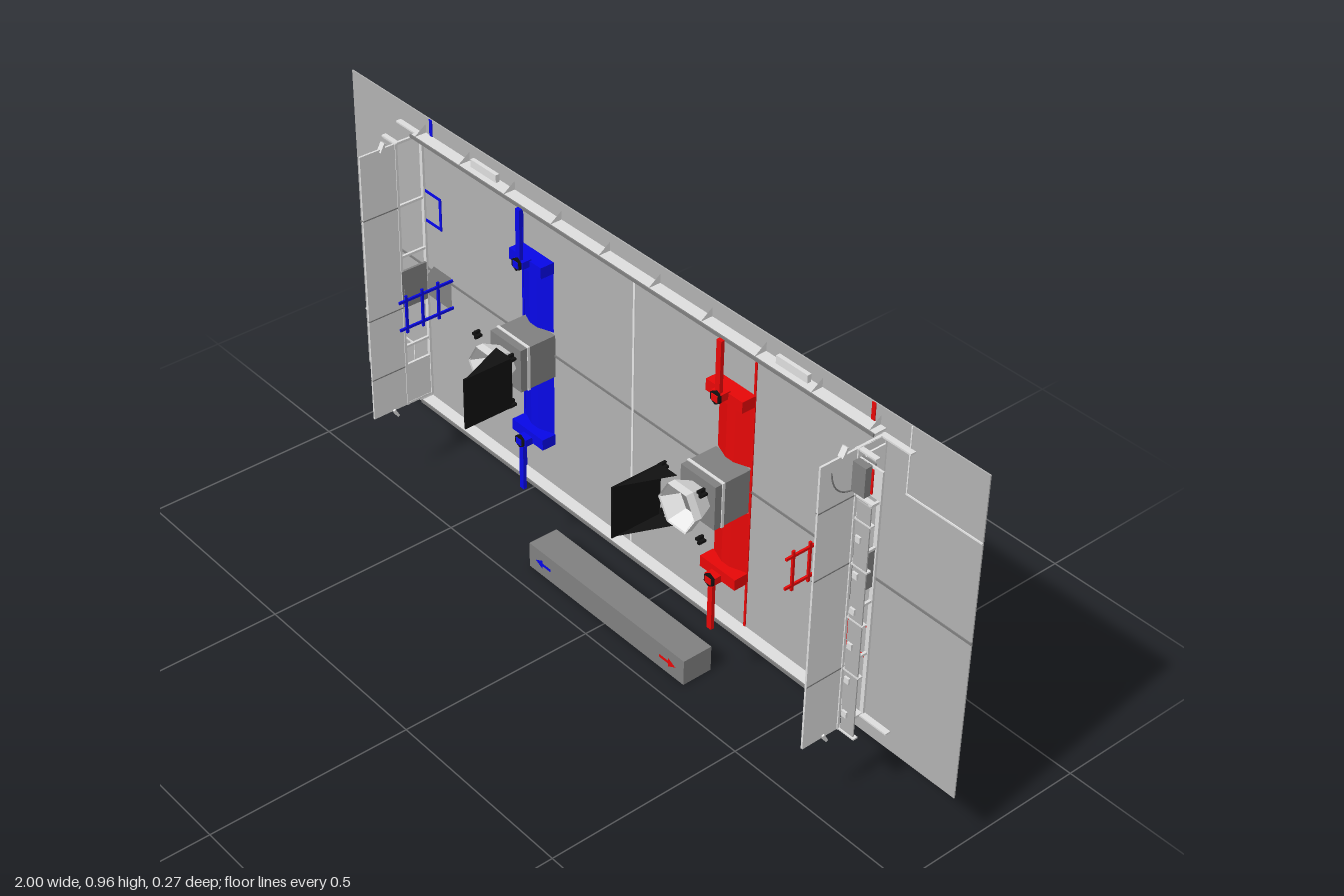
import * as THREE from 'three';

const mat = (name, color, side = THREE.FrontSide) => {
  const m = new THREE.MeshStandardMaterial({ color, side });
  m.name = name;
  return m;
};

export function createModel() {
  const model = new THREE.Group();
  model.name = 'arena';
  const carpet = mat('carpetGrey', 0xb2b2b2);
  const light = mat('lightGrey', 0xdedede, THREE.DoubleSide);
  const dark = mat('darkGrey', 0x808080, THREE.DoubleSide);
  const black = mat('black', 0x111111, THREE.DoubleSide);
  const white = mat('white', 0xf4f4f4, THREE.DoubleSide);
  const red = mat('red', 0xf00808, THREE.DoubleSide);
  const blue = mat('blue', 0x0808f0, THREE.DoubleSide);

  const CY = 0.557;      // height of the arena centre
  const F = -0.132;      // front surface of the carpet
  const add = (parent, name, geo, m) => {
    const mesh = new THREE.Mesh(geo, m);
    mesh.name = name;
    parent.add(mesh);
    return mesh;
  };
  // Box from its min and max extents
  const box = (p, name, m, x0, x1, y0, y1, z0, z1) => {
    const b = add(p, name, new THREE.BoxGeometry(x1 - x0, y1 - y0, z1 - z0), m);
    b.position.set((x0 + x1) / 2, (y0 + y1) / 2, (z0 + z1) / 2);
    return b;
  };
  // Tape line lying on the carpet
  const tape = (p, m, x0, x1, y0, y1) => box(p, 'floorLine', m, x0, x1, y0, y1, F, F + 0.002);
  // Flat polygon in the xy plane
  const plate = (p, name, m, pts, z) => {
    const s = new THREE.Shape(pts.map(a => new THREE.Vector2(...a)));
    const o = add(p, name, new THREE.ShapeGeometry(s), m);
    o.position.z = z;
    return o;
  };

  box(model, 'carpet', carpet, -1, 1, 0.152, 0.962, -0.135, F);
  tape(model, dark, -1, 1, 0.555, 0.561);
  tape(model, white, -0.003, 0.003, 0.2, 0.92);

  // One half of the arena, in coordinates about the arena centre
  function half(team, name) {
    const g = new THREE.Group();
    g.name = name;
    g.position.y = CY;

    // Floor markings
    tape(g, team, 0.372, 0.378, -0.36, 0.36);
    for (const s of [-1, 1]) {
      const a = s * 0.362, b = s * 0.405;
      tape(g, team, 0.695, 0.705, Math.min(a, b), Math.max(a, b));
    }
    tape(g, team, 0.672, 0.68, -0.213, -0.128);
    tape(g, team, 0.672, 0.735, -0.213, -0.206);
    tape(g, team, 0.672, 0.735, -0.135, -0.128);
    tape(g, white, 0.8, 1, 0.244, 0.248);
    tape(g, white, 0.8, 0.803, 0.248, 0.405);

    // Ramps, their end blocks and the overhead arms
    for (const s of [-1, 1]) {
      const part = new THREE.Group();
      part.name = 'rampSide';
      part.scale.y = s;
      g.add(part);
      const ramp = new THREE.Shape();
      ramp.moveTo(0.27, F);
      ramp.lineTo(0.375, F);
      ramp.lineTo(0.335, -0.117);
      ramp.lineTo(0.31, -0.117);
      const geo = new THREE.ExtrudeGeometry(ramp, { depth: 0.16, bevelEnabled: false });
      geo.rotateX(Math.PI / 2);
      geo.scale(1, -1, 1);
      // Profile height becomes z, extrusion becomes y
      const p = geo.attributes.position;
      const h = new THREE.ExtrudeGeometry(ramp, { depth: 0.16, bevelEnabled: false }).attributes.position;
      for (let i = 0; i < p.count; i++) p.setXYZ(i, h.getX(i), 0.06 + h.getZ(i), h.getY(i));
      geo.computeVertexNormals();
      add(part, 'ramp', geo, team);
      box(part, 'rampEndBlock', team, 0.267, 0.377, 0.215, 0.243, F, -0.095);
      box(part, 'armPost', team, 0.305, 0.335, 0.228, 0.246, -0.1, -0.075);
      box(part, 'overheadArm', team, 0.315, 0.329, 0.243, 0.372, -0.085, -0.076);
      const cap = add(part, 'armCap', new THREE.CylinderGeometry(0.016, 0.016, 0.006, 6), black);
      cap.rotation.x = Math.PI / 2;
      cap.position.set(0.322, 0.236, -0.073);
      box(part, 'armCapInset', team, 0.313, 0.331, 0.228, 0.244, -0.07, -0.068);
    }

    // Goal: square body with an open six-sided funnel
    const goal = new THREE.Group();
    goal.name = 'goal';
    g.add(goal);
    box(goal, 'goalBody', dark, 0.265, 0.372, -0.055, 0.055, F, -0.035);
    box(goal, 'goalBodyBand', light, 0.263, 0.374, -0.057, 0.057, -0.06, -0.053);
    for (const [r0, r1, z0, z1, m, n] of [
      [0.038, 0.057, -0.035, 0.005, light, 'funnel'],
      [0.057, 0.057, 0.005, 0.024, light, 'funnelRim'],
      [0.033, 0.053, -0.02, 0.022, white, 'funnelLining']]) {
      const c = new THREE.CylinderGeometry(r1, r0, z1 - z0, 6, 1, true).toNonIndexed();
      c.computeVertexNormals();
      const f = add(goal, n, c, m);
      f.rotation.set(Math.PI / 2, Math.PI / 6, 0);
      f.position.set(0.32, 0, (z0 + z1) / 2);
    }
    const bottom = add(goal, 'funnelFloor', new THREE.CircleGeometry(0.034, 6), dark);
    bottom.position.set(0.32, 0, -0.018);
    // Corner brackets
    for (const sx of [-1, 1]) for (const sy of [-1, 1]) {
      const x = 0.312 + sx * 0.06, y = sy * 0.06;
      box(goal, 'cornerBracket', black, x - 0.003, x + 0.003, y - 0.01, y + 0.01, -0.005, 0.008);
      box(goal, 'cornerBracket', black, x - 0.01, x + 0.01, y - 0.003, y + 0.003, -0.005, 0.008);
    }
    // Back net with triangular side nets
    box(goal, 'backNet', black, 0.245, 0.249, -0.065, 0.065, 0.005, 0.135);
    for (const s of [-1, 1]) {
      const n = plate(goal, 'sideNet', black, [[0.247, 0.005], [0.3, 0.005], [0.247, 0.13]], 0);
      n.rotation.x = Math.PI / 2;
      n.position.y = s * 0.064;
    }

    // Climbing tower with base, back plate and rungs
    plate(g, 'towerBase', dark,
      [[0.64, -0.02], [0.705, -0.02], [0.735, 0.02], [0.735, 0.07], [0.64, 0.07]], F + 0.004);
    box(g, 'towerBackPlate', dark, 0.731, 0.737, -0.02, 0.08, F, -0.055);
    for (const y of [-0.012, 0.062])
      box(g, 'towerUpright', team, 0.637, 0.642, y - 0.003, y + 0.003, F, 0.02);
    for (const z of [-0.09, -0.045, 0])
      box(g, 'towerRung', team, 0.637, 0.642, -0.025, 0.075, z - 0.003, z + 0.003);

    // End wall: upper panel, seams, posts and shelf
    box(g, 'endPanel', light, 0.733, 0.738, -0.357, 0.353, -0.055, 0.041);
    for (const y of [-0.192, 0.078, 0.243])
      box(g, 'panelSeam', dark, 0.732, 0.739, y - 0.0015, y + 0.0015, -0.055, 0.041);
    for (const y of [-0.355, -0.192, -0.057, 0.078, 0.19, 0.243, 0.351]) {
      box(g, 'wallPost', light, 0.733, 0.739, y - 0.003, y + 0.003, F, -0.055);
      box(g, 'shelfBracket', light, 0.738, 0.785, y - 0.002, y + 0.002, -0.068, -0.056);
    }
    box(g, 'wallRail', light, 0.731, 0.741, -0.357, 0.353, -0.06, -0.054);
    box(g, 'sill', light, 0.731, 0.741, -0.357, 0.353, F, F + 0.006);
    box(g, 'shelf', carpet, 0.745, 0.782, -0.35, 0.235, -0.06, -0.057);
    for (let i = 0; i < 6; i++)
      box(g, 'shelfBox', light, 0.75, 0.763, -0.31 + i * 0.09, -0.295 + i * 0.09, -0.057, -0.052);

    // Feeding station at one end of the wall
    box(g, 'stationPanel', light, 0.734, 0.74, 0.243, 0.353, F, -0.055);
    box(g, 'stationDoor', white, 0.74, 0.744, 0.255, 0.335, -0.125, -0.075);
    box(g, 'chuteBack', dark, 0.74, 0.775, 0.262, 0.332, -0.07, -0.042);
    box(g, 'chuteTray', light, 0.74, 0.803, 0.262, 0.332, -0.064, -0.059);
    box(g, 'chuteStripe', team, 0.776, 0.781, 0.268, 0.326, -0.059, -0.057);
    const arc = new THREE.QuadraticBezierCurve3(
      new THREE.Vector3(0.742, 0.33, 0.015), new THREE.Vector3(0.742, 0.265, 0.01),
      new THREE.Vector3(0.742, 0.262, -0.055));
    add(g, 'chuteArc', new THREE.TubeGeometry(arc, 12, 0.0018, 5), dark);
    for (const s of [-1, 1]) {
      const k = box(g, 'wallBrace', light, 0.728, 0.742, -0.012, 0.012, -0.003, 0.003);
      k.position.set(0.735, s * 0.36, -0.02);
      k.rotation.x = s * -0.5;
    }

    // Side guard rail with its supports and gate
    box(g, 'guardRail', light, -0.735, 0.735, 0.36, 0.364, F, -0.1);
    box(g, 'guardRailLip', dark, -0.735, 0.735, 0.358, 0.366, -0.1, -0.097);
    for (let i = 0; i < 10; i++) {
      const x = -0.72 + i * 0.16;
      const gusset = plate(g, 'railSupport', light, [[0, F], [0.022, F], [0, -0.1]], 0);
      // Turn the triangle so that it stands out from the rail
      gusset.rotation.set(Math.PI / 2, Math.PI / 2, 0, 'ZYX');
      gusset.matrixAutoUpdate = true;
      gusset.quaternion.setFromRotationMatrix(new THREE.Matrix4().makeBasis(
        new THREE.Vector3(0, 1, 0), new THREE.Vector3(0, 0, 1), new THREE.Vector3(1, 0, 0)));
      gusset.position.set(x, 0.364, 0);
    }
    for (const x of [-0.49, 0.49])
      box(g, 'gate', light, x - 0.045, x + 0.045, 0.366, 0.385, -0.125, -0.115);
    box(g, 'railEnd', light, 0.735, 0.815, 0.35, 0.354, F, -0.118);
    box(g, 'railEnd', light, 0.735, 0.815, -0.358, -0.354, F, -0.118);
    model.add(g);
    return g;
  }
  half(red, 'redHalf');
  half(blue, 'blueHalf').rotation.z = Math.PI;

  // Separate sign block with two arrows
  box(model, 'signBlock', dark, -0.27, 0.27, 0, 0.067, -0.135, -0.055);
  for (const [s, m] of [[1, red], [-1, blue]]) {
    const pts = [[0.19, 0.03], [0.22, 0.03], [0.22, 0.022], [0.245, 0.034],
      [0.22, 0.046], [0.22, 0.038], [0.19, 0.038]];
    plate(model, 'signArrow', m, pts.map(([x, y]) => [x * s, y]), -0.053);
  }
  return model;
}
